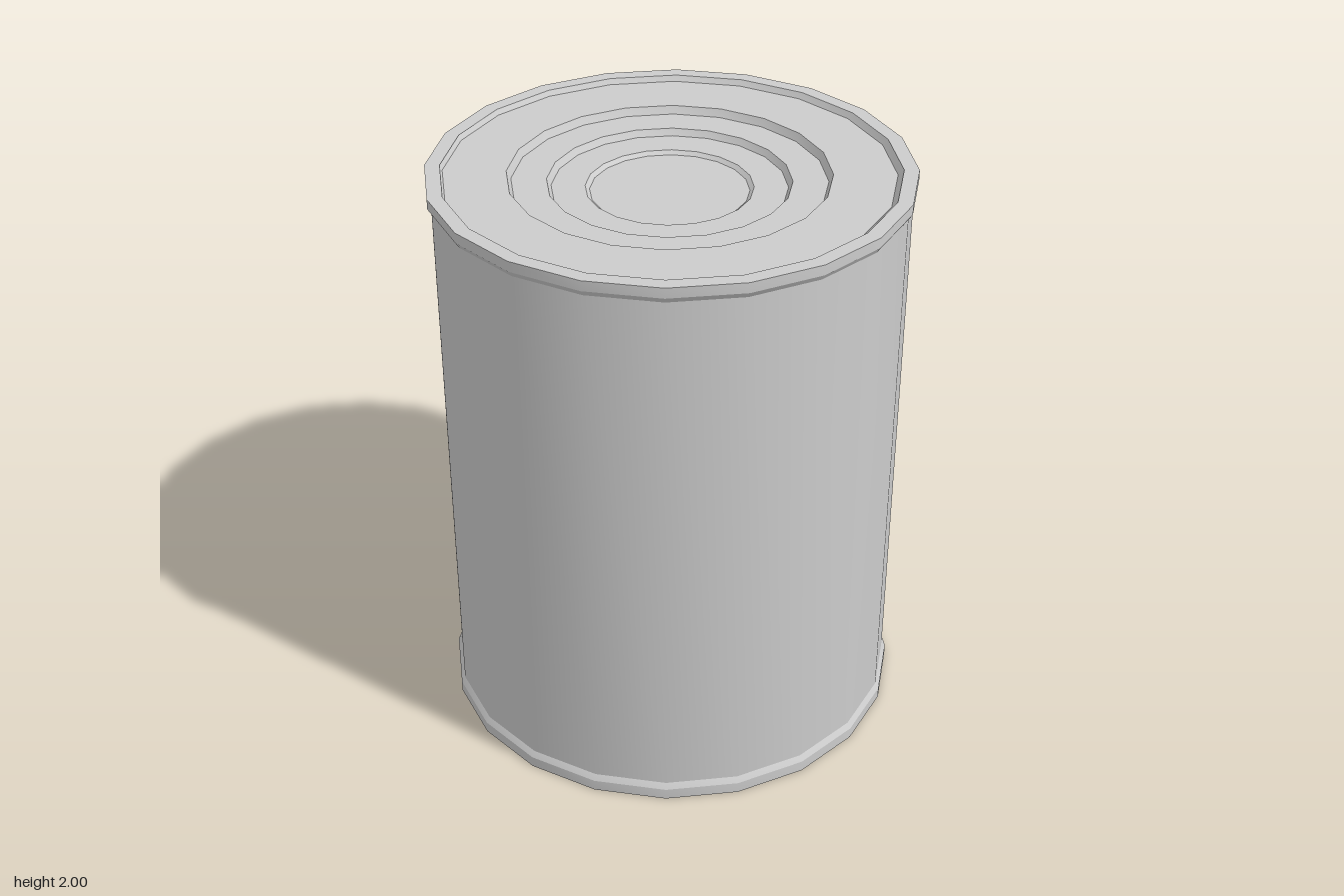
import * as THREE from 'three';
import { toCreasedNormals } from 'three/addons/utils/BufferGeometryUtils.js';

const SIDES = 20;

export function createModel() {
  const model = new THREE.Group();
  model.name = 'tinCan';
  const material = new THREE.MeshStandardMaterial({ color: 0xcccccc });

  // Revolve a [radius, height] profile, keeping edges sharp and the round side smooth
  function revolve(name, profile) {
    const points = profile.map(([r, y]) => new THREE.Vector2(r, y));
    const geometry = toCreasedNormals(new THREE.LatheGeometry(points, SIDES), 0.5);
    const mesh = new THREE.Mesh(geometry, material);
    mesh.name = name;
    model.add(mesh);
    return mesh;
  }

  // Base with a raised lower rim
  revolve('base', [[0, 0], [0.8, 0], [0.8, 0.04], [0.787, 0.06]]);

  // Cylindrical wall
  revolve('wall', [[0.787, 0.06], [0.787, 1.945]]);

  // Upper rim, with its top ledge
  revolve('upperRim', [[0.787, 1.945], [0.8, 1.965], [0.8, 2], [0.75, 2]]);

  // Lid stepping down towards the centre
  const lidProfile = [[0.752, 2]];
  let y = 2;
  for (const [radius, drop] of [[0.752, 0.022], [0.53, 0.026], [0.4, 0.022], [0.275, 0.012]]) {
    lidProfile.push([radius, y]);
    y -= drop;
    lidProfile.push([radius - 0.014, y]);
  }
  lidProfile.push([0, y]);
  const lid = revolve('steppedLid', lidProfile.slice(1));
  // The pressed rings sit slightly behind the centre
  const position = lid.geometry.attributes.position;
  for (let i = 0; i < position.count; i++) {
    const r = Math.hypot(position.getX(i), position.getZ(i));
    if (r < 0.745) position.setZ(i, position.getZ(i) - 0.01);
  }

  return model;
}
